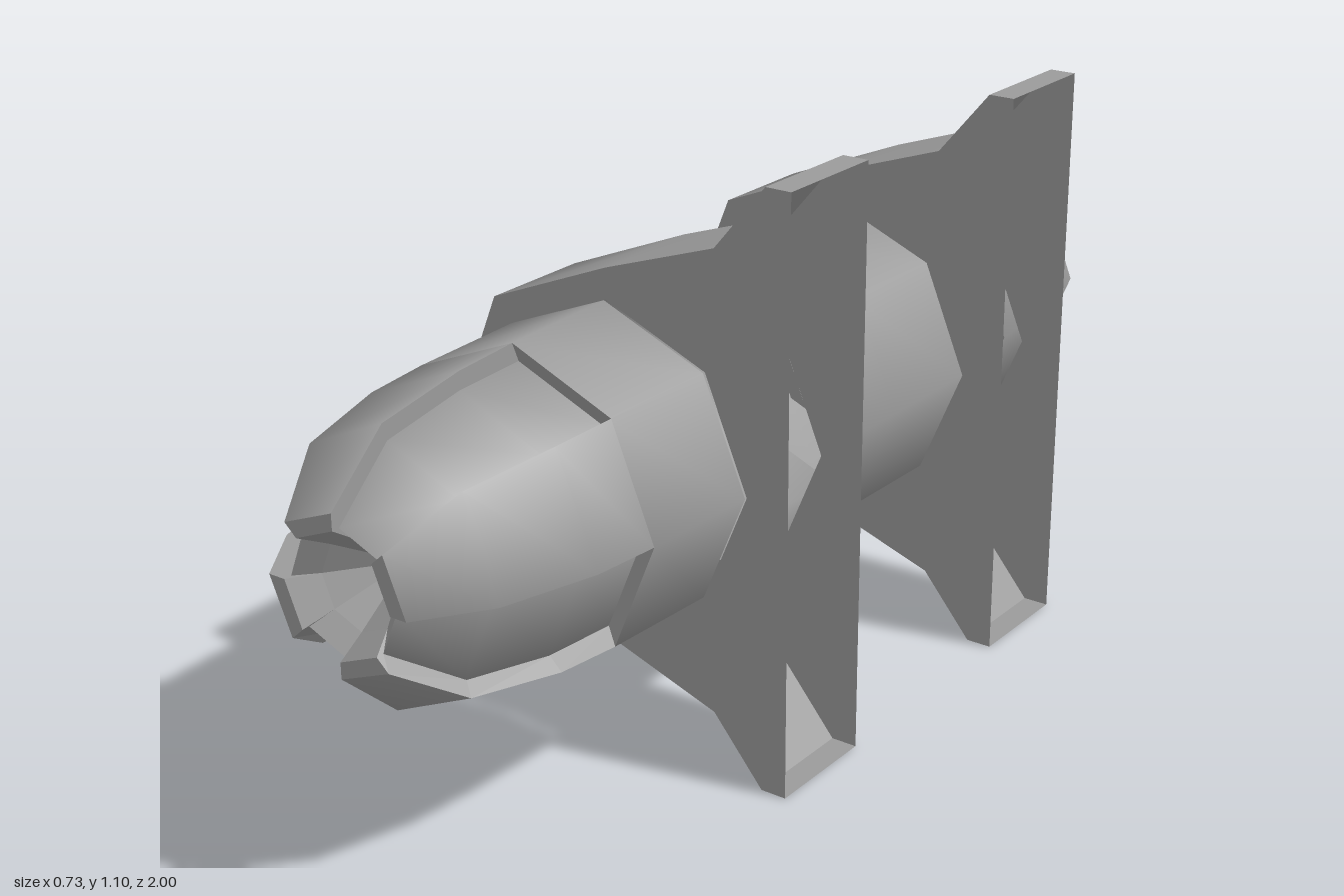
import * as THREE from 'three';
import { mergeVertices } from 'three/addons/utils/BufferGeometryUtils.js';

const CX = -0.014, CY = 0.55, SIDES = 8;
const RECESSED = k => k % 2 === 1;

const COLOR = 0x9b9b9b;
const smooth = new THREE.MeshStandardMaterial({ color: COLOR, side: THREE.DoubleSide });
const flat = new THREE.MeshStandardMaterial({ color: COLOR, side: THREE.DoubleSide, flatShading: true });

// A ring is [z, horizontal radius, vertical radius]; corner k of its octagon
function corner([z, rx, ry = rx], k) {
  const a = (k / SIDES) * Math.PI * 2;
  return [CX + Math.cos(a) * rx, CY + Math.sin(a) * ry, z];
}

// Smooth octagonal shell through rings listed from back to front; keep(k) selects its facets
function shell(name, rings, keep = () => true, material = smooth) {
  const pos = [], all = [], kept = [];
  rings.forEach((ring, i) => {
    for (let k = 0; k < SIDES; k++) {
      pos.push(...corner(ring, k));
      if (i === rings.length - 1) continue;
      const a = i * SIDES + k, b = i * SIDES + ((k + 1) % SIDES);
      const tris = [a, b, b + SIDES, a, b + SIDES, a + SIDES];
      all.push(...tris);
      if (keep(k)) kept.push(...tris);
    }
  });
  const geo = new THREE.BufferGeometry();
  geo.setAttribute('position', new THREE.Float32BufferAttribute(pos, 3));
  geo.setIndex(all);
  geo.computeVertexNormals();
  geo.setIndex(kept);
  const mesh = new THREE.Mesh(geo, material);
  mesh.name = name;
  return mesh;
}

// Faces from a list of four-cornered polygons, welded when the material is smooth
function quads(name, list, material = flat) {
  const pos = [];
  for (const [a, b, c, d] of list) pos.push(...a, ...b, ...c, ...a, ...c, ...d);
  let geo = new THREE.BufferGeometry();
  geo.setAttribute('position', new THREE.Float32BufferAttribute(pos, 3));
  if (material === smooth) geo = mergeVertices(geo);
  geo.computeVertexNormals();
  const mesh = new THREE.Mesh(geo, material);
  mesh.name = name;
  return mesh;
}

function createNose() {
  const nose = new THREE.Group();
  nose.name = 'nose';
  const outer = [[0.57, 0.287, 0.288], [0.7, 0.276, 0.28], [0.88, 0.227, 0.25], [1, 0.145, 0.142]];
  const inner = [[0.555, 0.252, 0.252], [0.7, 0.242, 0.247], [0.87, 0.203, 0.218], [0.985, 0.112, 0.112]];
  const lip = [1, 0.112], bore = [0.95, 0.08];

  nose.add(shell('noseCollar', [[0.33, 0.295, 0.293], outer[0]]));
  nose.add(shell('raisedPanels', outer, k => !RECESSED(k)));
  nose.add(shell('recessedPanels', inner, RECESSED));

  // Walls of the recesses, and the notched rim sloping into the bore
  const walls = [], rim = [];
  for (let k = 0; k < SIDES; k++) {
    const edge = RECESSED(k) ? inner[3] : lip;
    rim.push([corner(bore, k), corner(edge, k), corner(edge, k + 1), corner(bore, k + 1)]);
    if (!RECESSED(k)) {
      rim.push([corner(lip, k), corner(outer[3], k), corner(outer[3], k + 1), corner(lip, k + 1)]);
      continue;
    }
    walls.push([corner(inner[0], k), corner(outer[0], k), corner(outer[0], k + 1), corner(inner[0], k + 1)]);
    for (let i = 0; i < 3; i++) {
      const side = j => [corner(inner[i], j), corner(inner[i + 1], j), corner(outer[i + 1], j), corner(outer[i], j)];
      walls.push(side(k), side(k + 1).reverse());
    }
    // Ends of the side walls, reaching the lip and the bore
    const end = j => [corner(inner[3], j), corner(bore, j), corner(lip, j), corner(outer[3], j)];
    walls.push(end(k), end(k + 1).reverse());
  }
  nose.add(quads('recessWalls', walls), quads('noseRim', rim));
  nose.add(shell('noseBore', [bore, [0.84, 0.0001]], undefined, flat));
  return nose;
}

// Hollow bracket: two holed plates and a band, open on its mounting side
function createBracket(name, back, front) {
  const bracket = new THREE.Group();
  bracket.name = name;
  const upper = [[0.365, 1.1], [0.315, 1.1], [0.213, 0.978], [CX, 0.9], [-0.265, 0.797]];
  const outline = [...upper, [-0.365, CY], ...upper.map(([x, y]) => [x, 1.1 - y]).reverse()];

  const shape = new THREE.Shape(outline.map(([x, y]) => new THREE.Vector2(x, y)));
  const hole = [];
  for (let k = 0; k < SIDES; k++) {
    const [x, y] = corner([0, 0.295, 0.293], k);
    hole.push(new THREE.Vector2(x, y));
  }
  shape.holes.push(new THREE.Path(hole));

  const frontPlate = new THREE.Mesh(new THREE.ShapeGeometry(shape), flat);
  frontPlate.name = 'frontPlate';
  frontPlate.position.z = front;
  const backGeo = new THREE.ShapeGeometry(shape);
  backGeo.setIndex([...backGeo.index.array].reverse());
  backGeo.computeVertexNormals();
  const backPlate = new THREE.Mesh(backGeo, flat);
  backPlate.name = 'backPlate';
  backPlate.position.z = back;

  // The band is rounded around the body and flat on the feet
  const band = outline.slice(1).map(([x, y], i) => {
    const [px, py] = outline[i];
    return [[px, py, back], [x, y, back], [x, y, front], [px, py, front]];
  });
  bracket.add(frontPlate, backPlate);
  bracket.add(quads('roundBand', band.slice(2, -2), smooth));
  bracket.add(quads('feet', [...band.slice(0, 2), ...band.slice(-2)]));
  return bracket;
}

export function createModel() {
  const model = new THREE.Group();
  model.name = 'mountedCylinder';

  model.add(createNose());
  model.add(shell('middleBody', [[-0.38, 0.295, 0.293], [-0.14, 0.295, 0.29], [0.1, 0.295, 0.292]]));

  // Rear cone with its stepped end and flat cap
  const rear = new THREE.Group();
  rear.name = 'tail';
  rear.add(shell('tailBody', [[-1, 0.19], [-0.92, 0.21], [-0.89, 0.228], [-0.605, 0.257]]));
  rear.add(shell('tailCap', [[-1, 0.0001], [-1, 0.19]], undefined, flat));
  model.add(rear);

  model.add(createBracket('frontBracket', 0.1, 0.325));
  model.add(createBracket('rearBracket', -0.608, -0.38));
  return model;
}
